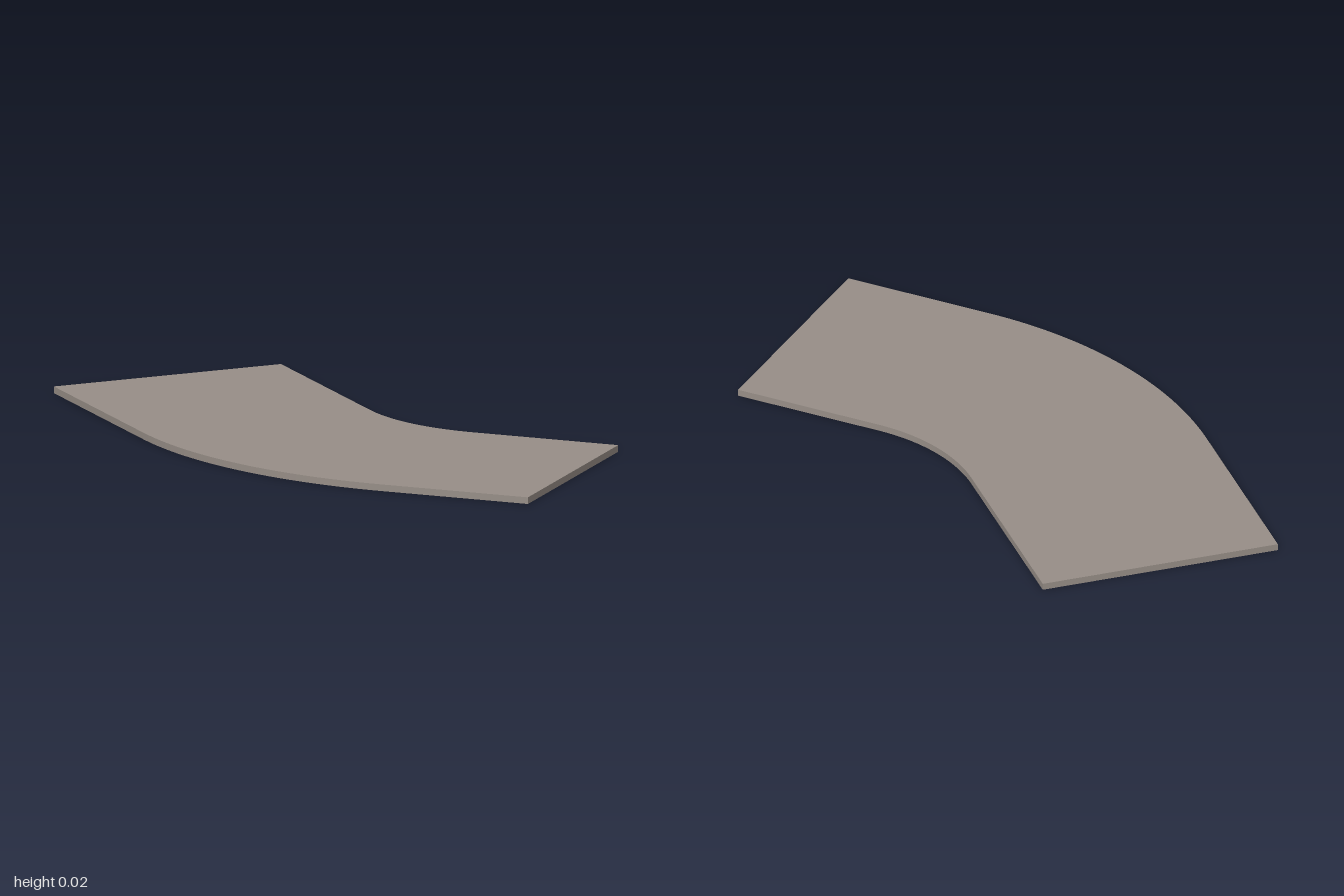
import * as THREE from 'three';

export function createModel() {
  const group = new THREE.Group();
  group.name = 'curvedPath';

  const thickness = 0.022;
  const cx = 0.497, cy = 0.66;        // shared centre of both bends
  const inner = 0.6, outer = 1.4;     // bend radii, the path is 0.8 wide
  const straight = -Math.PI / 2, turned = -Math.PI * 3 / 4;

  // Plan outline: straight run, 45 degree bend, angled run
  const outline = new THREE.Shape();
  outline.moveTo(1, cy - outer);
  outline.lineTo(1, cy - inner);
  outline.absarc(cx, cy, inner, straight, turned, true);
  outline.lineTo(-0.434, 0.742);
  outline.lineTo(-1, 0.177);
  outline.absarc(cx, cy, outer, turned, straight, false);
  outline.closePath();

  // Lay the slab flat on the ground
  const geometry = new THREE.ExtrudeGeometry(outline, {
    depth: thickness, bevelEnabled: false, curveSegments: 14,
  });
  geometry.rotateX(-Math.PI / 2);

  const slab = new THREE.Mesh(geometry, new THREE.MeshStandardMaterial({ color: 0x978e87 }));
  slab.name = 'pathSlab';
  group.add(slab);
  return group;
}
